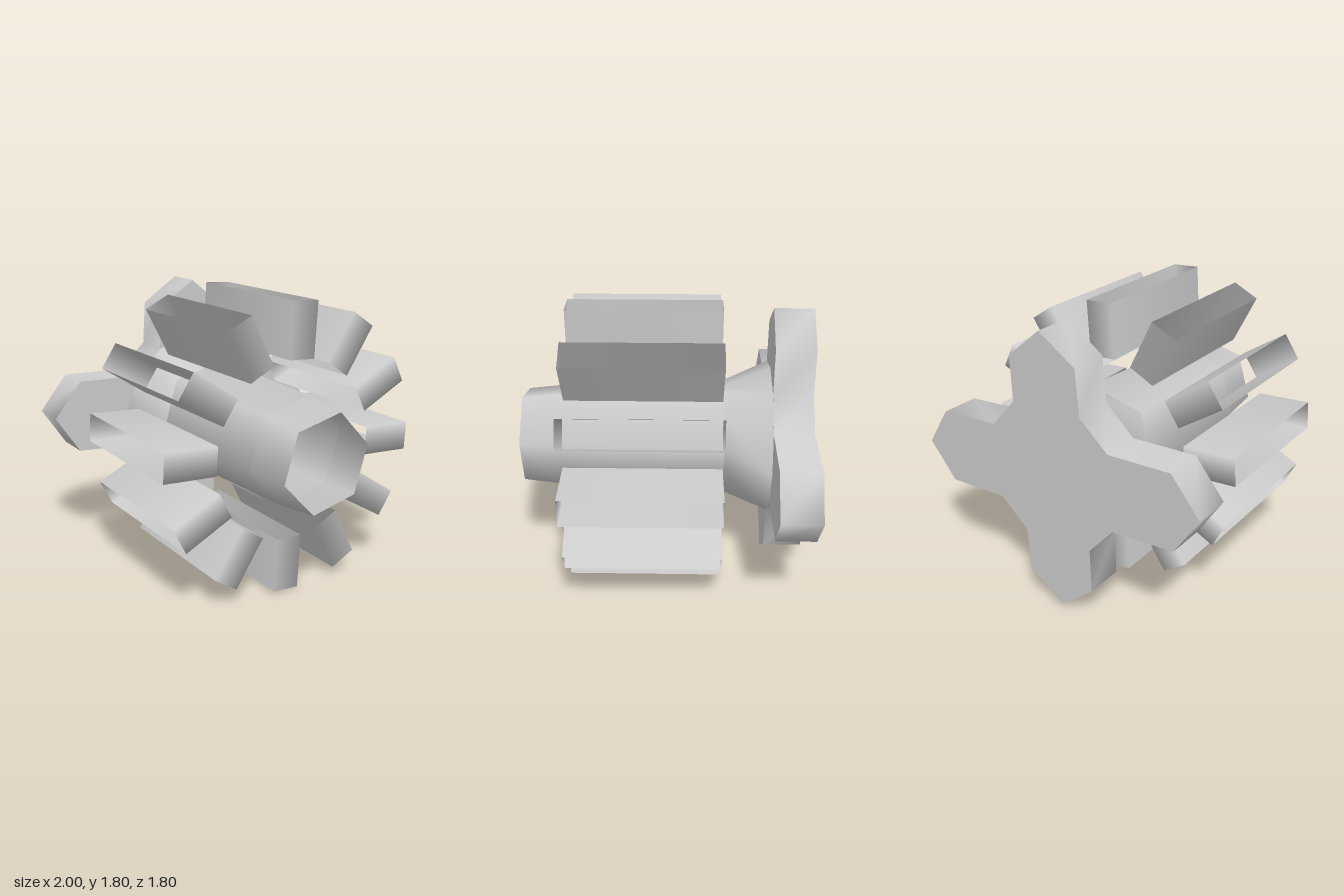
import * as THREE from 'three';
import { toCreasedNormals } from 'three/addons/utils/BufferGeometryUtils.js';

const rad = THREE.MathUtils.degToRad;
const polar = (r, deg, z) => [r * Math.cos(rad(deg)), r * Math.sin(rad(deg)), z];

export function createModel() {
  const model = new THREE.Group();
  const material = new THREE.MeshStandardMaterial({ color: 0xcccccc, side: THREE.DoubleSide });
  const add = (name, geometry, parent = model) => {
    const mesh = new THREE.Mesh(geometry, material);
    mesh.name = name;
    parent.add(mesh);
    return mesh;
  };

  // Open six-sided tube along z
  const hexTube = (rFront, rBack, zFront, zBack) =>
    new THREE.CylinderGeometry(rFront, rBack, zFront - zBack, 6, 1, true)
      .rotateX(Math.PI / 2)
      .rotateZ(rad(-17))
      .translate(0, 0, (zFront + zBack) / 2);
  add('nozzle', hexTube(0.309, 0.343, 0.9, 0.6));
  add('barrel', hexTube(0.343, 0.374, 0.6, -0.37));

  // Flare: hexagon opening out to a twelve-sided ring
  const positions = [], indices = [];
  for (let i = 0; i < 12; i++) {
    const r = i % 2 ? 0.374 * Math.cos(Math.PI / 6) : 0.374;
    positions.push(...polar(r, 13 + i * 30, -0.37), ...polar(0.485, -3 + i * 30, -0.66));
    const a = i * 2, b = ((i + 1) % 12) * 2;
    indices.push(a, a + 1, b, b, a + 1, b + 1);
  }
  const flare = new THREE.BufferGeometry();
  flare.setAttribute('position', new THREE.Float32BufferAttribute(positions, 3));
  flare.setIndex(indices);
  flare.computeVertexNormals();
  add('flare', flare);

  // Base plate: four pointed arms, the side pair longer than the upright pair
  const outline = [];
  for (let i = 0; i < 4; i++) {
    const [shoulder, tip] = i % 2 ? [0.705, 0.88] : [0.83, 1.0];
    const arm = [[0.42, -0.2425], [shoulder, -0.235], [tip, 0], [shoulder, 0.235], [0.42, 0.2425]];
    for (const [x, y] of arm)
      outline.push(new THREE.Vector2(x, y).rotateAround(new THREE.Vector2(), i * Math.PI / 2 - rad(3)));
  }
  const plate = new THREE.ExtrudeGeometry(new THREE.Shape(outline), { depth: 0.245, bevelEnabled: false });
  plate.translate(0, 0, -0.9);
  add('basePlate', toCreasedNormals(plate, 1.3));

  // Ring of twelve radial sleeves, open at their inner and outer ends
  const sleeve = new THREE.CylinderGeometry(Math.SQRT1_2, Math.SQRT1_2, 0.345, 4, 1, true)
    .rotateY(Math.PI / 4)
    .scale(0.178, 1, 0.95)
    .translate(0, 0.725, 0.125);
  const ring = new THREE.Group();
  ring.name = 'sleeveRing';
  model.add(ring);
  for (let i = 0; i < 12; i++) add('sleeve', sleeve, ring).rotation.z = rad(i * 30 - 3.7);

  model.position.y = 0.903;
  const root = new THREE.Group();
  root.add(model);
  return root;
}
